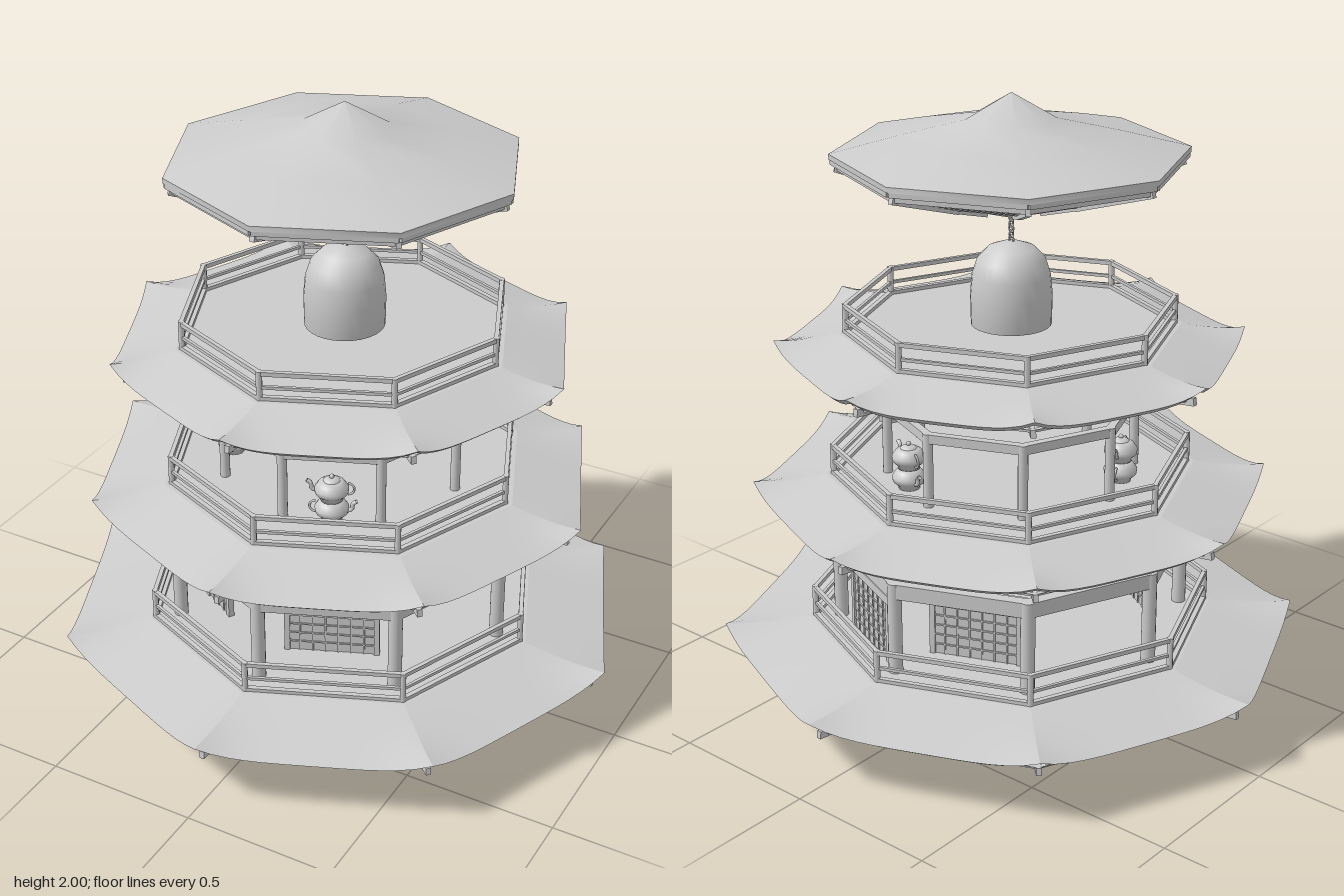
import * as THREE from 'three';
import { toCreasedNormals } from 'three/addons/utils/BufferGeometryUtils.js';

const MAT = new THREE.MeshStandardMaterial({ color: 0xcccccc });
const THIN = new THREE.MeshStandardMaterial({ color: 0xcccccc, side: THREE.DoubleSide });
const V = (x, y, z) => new THREE.Vector3(x, y, z);
// Corner k of an octagon of radius r at height y, corners on the axes
const corner = (k, r, y) => V(Math.sin(k * Math.PI / 4) * r, y, Math.cos(k * Math.PI / 4) * r);
const face = k => (k + 0.5) * Math.PI / 4;

function group(name, parent) {
  const g = new THREE.Group();
  g.name = name;
  parent.add(g);
  return g;
}

function add(parent, name, geo, x = 0, y = 0, z = 0, mat = MAT) {
  const m = new THREE.Mesh(geo, mat);
  m.name = name;
  m.position.set(x, y, z);
  parent.add(m);
  return m;
}

function beam(parent, name, a, b, w, h) {
  const m = new THREE.Mesh(new THREE.BoxGeometry(w, h, a.distanceTo(b)), MAT);
  m.name = name;
  m.position.copy(a).lerp(b, 0.5);
  m.lookAt(b);
  parent.add(m);
}

function octagonRing(parent, name, r, y, w, h) {
  for (let k = 0; k < 8; k++) beam(parent, name, corner(k, r, y), corner(k + 1, r, y), w, h);
}

function lathe(points, sides, crease) {
  const geo = new THREE.LatheGeometry(points.map(p => new THREE.Vector2(p[0], p[1])), sides);
  return crease ? toCreasedNormals(geo, crease) : geo;
}

// Stepped cone of planks with a rafter under each corner
function underside(parent, apexY, midR, midY, outR, outY) {
  const pts = [[0, apexY], [midR, midY]];
  const steps = 10;
  for (let i = 1; i <= steps; i++) {
    const r = THREE.MathUtils.lerp(midR, outR, i / steps);
    const y = THREE.MathUtils.lerp(midY, outY, i / steps);
    pts.push([r - 0.012, y - 0.012], [r - 0.012, y + 0.002], [r, y]);
  }
  add(parent, 'plankedUnderside', lathe(pts, 8, 0.3), 0, 0, 0, THIN);
  for (let k = 0; k < 8; k++) {
    beam(parent, 'cornerRafter', corner(k, 0.12, THREE.MathUtils.lerp(apexY, midY, 0.12 / midR)),
      corner(k, midR, midY - 0.005), 0.016, 0.02);
    beam(parent, 'cornerRafter', corner(k, midR, midY - 0.005), corner(k, outR + 0.01, outY - 0.008), 0.016, 0.024);
  }
}

// One eave panel, its outer edge swept up towards both corners
function eavePanel(rIn, yIn, rOut, yOut, lift) {
  const n = 14, m = 5, pos = [], idx = [];
  for (let j = 0; j <= m; j++) {
    const v = j / m, r = THREE.MathUtils.lerp(rIn, rOut, v);
    for (let i = 0; i <= n; i++) {
      const t = i / n;
      const p = corner(0, r, 0).lerp(corner(1, r, 0), t);
      p.y = THREE.MathUtils.lerp(yIn, yOut, v) + lift * v * v * Math.abs(2 * t - 1) ** 4;
      pos.push(p.x, p.y, p.z);
    }
  }
  // Outer rim, turned down and in
  for (let i = 0; i <= n; i++) {
    const q = (m * (n + 1) + i) * 3;
    pos.push(pos[q] * 0.97, pos[q + 1] - 0.018, pos[q + 2] * 0.97);
  }
  for (let j = 0; j <= m; j++) for (let i = 0; i < n; i++) {
    const a = j * (n + 1) + i, b = a + n + 1;
    idx.push(a, b, b + 1, a, b + 1, a + 1);
  }
  const geo = new THREE.BufferGeometry();
  geo.setAttribute('position', new THREE.Float32BufferAttribute(pos, 3));
  geo.setIndex(idx);
  geo.computeVertexNormals();
  return toCreasedNormals(geo, 0.6);
}

function tier(parent, { name, R, deckR, deckY, tipY, apexY, railR, railY }) {
  const g = group(name, parent);
  const deck = add(g, 'deck', new THREE.CircleGeometry(deckR, 8), 0, deckY, 0, THIN);
  deck.rotation.x = -Math.PI / 2;
  const panel = eavePanel(deckR, deckY, R, tipY - 0.035, 0.035);
  for (let k = 0; k < 8; k++) add(g, 'eave', panel, 0, 0, 0, THIN).rotation.y = k * Math.PI / 4;
  underside(g, apexY, 0.25, apexY + 0.112, R - 0.05, tipY - 0.045);
  // Railing
  const posts = new THREE.CylinderGeometry(0.01, 0.01, railY - deckY + 0.005, 8);
  for (let k = 0; k < 8; k++) {
    const p = corner(k, railR, (railY + deckY) / 2);
    add(g, 'railPost', posts, p.x, p.y, p.z);
  }
  octagonRing(g, 'topRail', railR, railY - 0.005, 0.014, 0.014);
  octagonRing(g, 'middleRail', railR, (railY + deckY) / 2 - 0.005, 0.01, 0.01);
  octagonRing(g, 'kerb', railR, deckY + 0.006, 0.016, 0.012);
  return g;
}

function colonnade(parent, r, y0, y1, radius, beamH) {
  const g = group('colonnade', parent);
  for (let k = 0; k < 8; k++) {
    const p = corner(k, r, (y0 + y1) / 2);
    add(g, 'pillar', new THREE.CylinderGeometry(radius, radius, y1 - y0, 14), p.x, p.y, p.z);
  }
  octagonRing(g, 'ringBeam', r, y1 - beamH / 2, radius * 1.6, beamH);
}

// Lattice screen standing between two posts
function screen(parent, x, z, angle, width, y, h) {
  const g = group('latticeScreen', parent);
  g.position.set(x, y, z);
  g.rotation.y = angle;
  add(g, 'screenPanel', new THREE.BoxGeometry(width, h - 0.03, 0.006), 0, h / 2 - 0.015, 0);
  add(g, 'screenLintel', new THREE.BoxGeometry(width + 0.04, 0.028, 0.024), 0, h - 0.014, 0);
  for (const s of [-1, 1]) add(g, 'screenPost', new THREE.BoxGeometry(0.018, h, 0.02), s * width / 2, h / 2, 0);
  const cols = Math.round(width / 0.04);
  for (let i = 1; i < cols; i++)
    add(g, 'uprightBar', new THREE.BoxGeometry(0.005, h - 0.03, 0.014), width * (i / cols - 0.5), h / 2 - 0.015, 0);
  for (let j = 1; j < 6; j++) add(g, 'crossBar', new THREE.BoxGeometry(width, 0.005, 0.014), 0, (h - 0.03) * j / 6, 0);
}

// A small teapot resting on a larger kettle
function potStack(parent, angle, r, y) {
  const g = group('teapotStack', parent);
  g.position.set(Math.sin(angle) * r, y, Math.cos(angle) * r);
  g.rotation.y = angle;
  const body = [[0, 0], [0.035, 0], [0.033, 0.008], [0.052, 0.026], [0.054, 0.042], [0.042, 0.06], [0.03, 0.068], [0, 0.069]];
  add(g, 'kettleBody', lathe(body, 20));
  add(g, 'teapotBody', lathe(body, 20), 0, 0.069, 0);
  add(g, 'teapotLid', new THREE.SphereGeometry(0.028, 16, 6, 0, Math.PI * 2, 0, Math.PI / 2), 0, 0.133, 0).scale.y = 0.5;
  add(g, 'lidKnob', new THREE.SphereGeometry(0.008, 10, 8), 0, 0.151, 0);
  for (const [y0, s] of [[0, 1], [0.069, -1]]) {
    const spout = new THREE.CatmullRomCurve3([V(s * 0.045, y0 + 0.028, 0), V(s * 0.062, y0 + 0.036, 0), V(s * 0.066, y0 + 0.055, 0), V(s * 0.078, y0 + 0.064, 0)]);
    add(g, 'spout', new THREE.TubeGeometry(spout, 10, 0.007, 8), 0, 0, 0, THIN);
    const handle = add(g, 'handle', new THREE.TorusGeometry(0.02, 0.004, 6, 14, Math.PI), -s * 0.05, y0 + 0.04, 0);
    handle.rotation.z = s * Math.PI / 2;
  }
}

export function createModel() {
  const model = new THREE.Group();
  model.name = 'pagoda';

  // Lower tier with pillars and lattice screens
  const lower = tier(model, { name: 'lowerTier', R: 0.95, deckR: 0.67, deckY: 0.255, tipY: 0.235, apexY: 0, railR: 0.65, railY: 0.36 });
  colonnade(lower, 0.565, 0.255, 0.565, 0.023, 0.05);
  for (const k of [0, 4])
    screen(lower, Math.sin(face(k)) * 0.37, Math.cos(face(k)) * 0.37, face(k), 0.29, 0.255, 0.235);
  screen(lower, -0.31, 0.3, -Math.PI / 6, 0.14, 0.255, 0.235);
  screen(lower, 0.18, -0.48, face(3), 0.27, 0.255, 0.235);

  // Middle tier with pillars and three teapot stacks
  const middle = tier(model, { name: 'middleTier', R: 0.835, deckR: 0.6, deckY: 0.765, tipY: 0.745, apexY: 0.515, railR: 0.575, railY: 0.865 });
  colonnade(middle, 0.4, 0.765, 1.01, 0.016, 0.03);
  for (const k of [0, 3, 6]) potStack(middle, face(k), 0.365, 0.767);

  // Upper tier with the hanging bell
  const upper = tier(model, { name: 'upperTier', R: 0.75, deckR: 0.545, deckY: 1.245, tipY: 1.225, apexY: 1.012, railR: 0.522, railY: 1.338 });
  add(upper, 'bell', lathe([[0.115, 1.262], [0.128, 1.262], [0.13, 1.36], [0.124, 1.425], [0.108, 1.475],
    [0.075, 1.51], [0.03, 1.527], [0, 1.532]], 28), 0, 0, 0, THIN);
  const link = new THREE.TorusGeometry(0.009, 0.003, 6, 12);
  for (let i = 0; i < 5; i++) {
    const m = add(upper, 'chainLink', link, 0, 1.537 + i * 0.0175, 0);
    m.scale.y = 1.35;
    m.rotation.y = i % 2 * Math.PI / 2;
  }

  // Crowning roof
  const roof = group('topRoof', model);
  add(roof, 'roofShell', lathe([[0.558, 1.803], [0.558, 1.82], [0.35, 1.872], [0.14, 1.918], [0, 2]], 8, 0.8), 0, 0, 0, THIN);
  octagonRing(roof, 'roofRim', 0.545, 1.797, 0.02, 0.018);
  octagonRing(roof, 'roofLowerRim', 0.525, 1.78, 0.02, 0.022);
  underside(roof, 1.605, 0.25, 1.688, 0.53, 1.785);
  return model;
}
